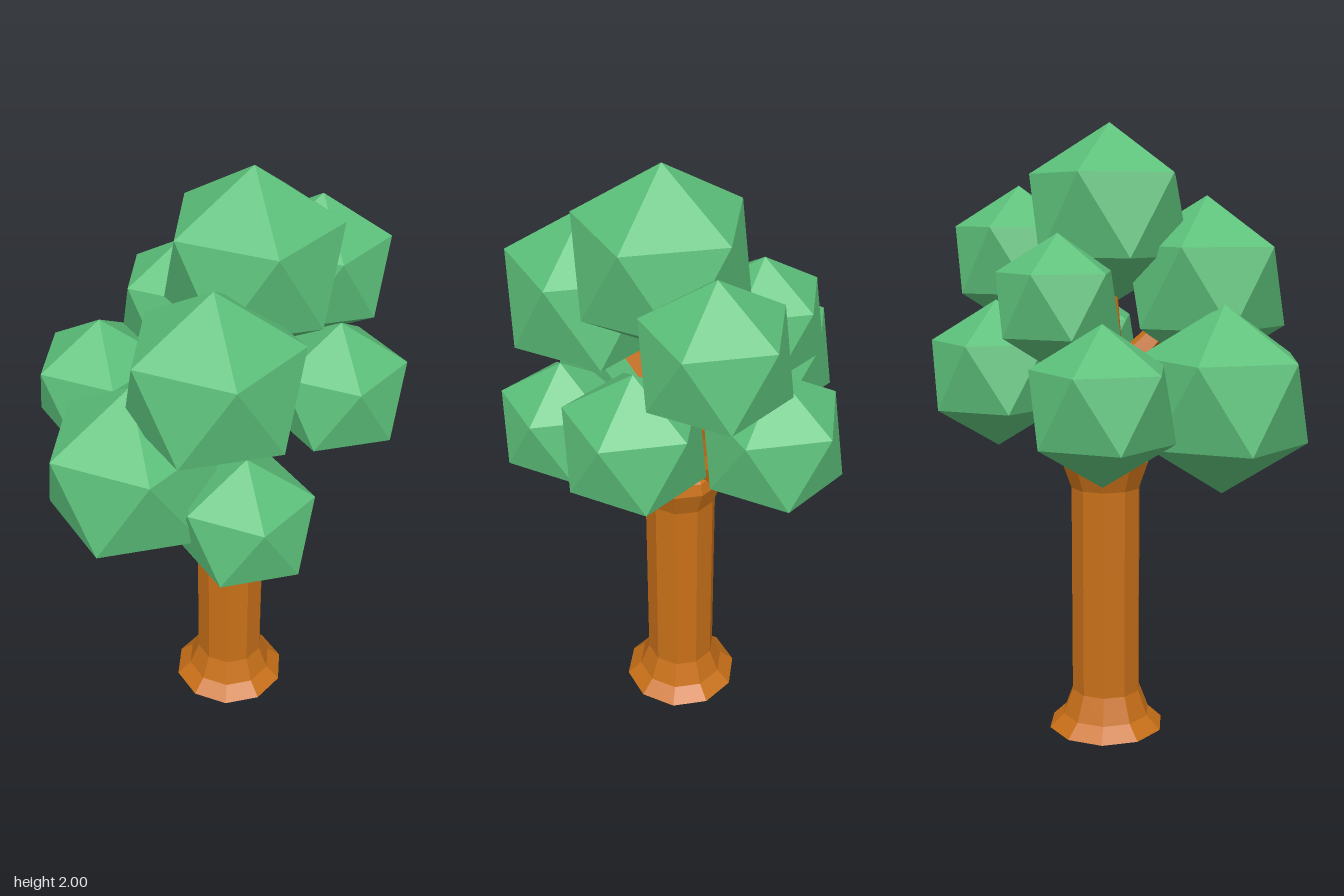
import * as THREE from 'three';

const bark = new THREE.MeshStandardMaterial({ color: 0xc87018, flatShading: true });
const leaf = new THREE.MeshStandardMaterial({ color: 0x5cc07a, flatShading: true });

// x, y, z, radius of each leaf clump
const CLUMPS = [
  [0.11, 1.71, 0.01, 0.29],
  [0.307, 1.565, -0.25, 0.24],
  [0.02, 1.485, 0.31, 0.287],
  [-0.22, 1.145, 0.29, 0.297],
  [0.12, 1.04, 0.37, 0.224],
  [0.378, 1.257, -0.03, 0.233],
  [-0.375, 1.165, -0.135, 0.24],
  [-0.12, 1.445, -0.21, 0.213],
  [0.13, 1.207, -0.36, 0.237],
];

// start point, end point, start radius, end radius of each branch
const BRANCHES = [
  [[0.02, 0.89, -0.03], [-0.25, 1.08, -0.11], 0.06, 0.035],
  [[0.06, 0.93, 0.04], [0.1, 0.97, 0.24], 0.045, 0.025],
  [[0.07, 0.92, -0.06], [0.11, 1.11, -0.25], 0.05, 0.03],
  [[0.03, 0.93, 0.03], [-0.12, 1.06, 0.19], 0.045, 0.03],
  [[0.08, 1.1, -0.02], [0.26, 1.2, -0.03], 0.05, 0.03],
  [[0.06, 1.15, -0.03], [-0.05, 1.36, -0.15], 0.05, 0.03],
  [[0.07, 1.22, -0.02], [0.22, 1.47, -0.17], 0.05, 0.035],
  [[0.06, 1.18, 0], [0.04, 1.38, 0.2], 0.05, 0.035],
];

function branch([from, to, r0, r1]) {
  const a = new THREE.Vector3(...from), b = new THREE.Vector3(...to);
  const dir = b.clone().sub(a);
  const mesh = new THREE.Mesh(new THREE.CylinderGeometry(r1, r0, dir.length(), 5), bark);
  mesh.name = 'branch';
  mesh.position.copy(a).add(b).multiplyScalar(0.5);
  mesh.quaternion.setFromUnitVectors(new THREE.Vector3(0, 1, 0), dir.normalize());
  return mesh;
}

export function createModel() {
  const tree = new THREE.Group();
  tree.name = 'tree';

  // Trunk: flared foot, straight shaft, collar and narrowing top
  const profile = [
    [0, 0], [0.195, 0], [0.148, 0.045], [0.116, 0.13], [0.116, 0.83],
    [0.148, 0.92], [0.138, 0.96], [0.105, 0.98], [0.098, 1.09],
    [0.1, 1.13], [0.065, 1.22], [0.05, 1.5], [0, 1.5],
  ].map(([r, y]) => new THREE.Vector2(r, y));
  const trunkShape = new THREE.LatheGeometry(profile, 10);
  // The top leans toward the crown
  const p = trunkShape.attributes.position;
  for (let i = 0; i < p.count; i++) {
    const lean = Math.max(0, p.getY(i) - 1.1);
    p.setX(i, p.getX(i) + lean * 0.13);
  }
  const trunk = new THREE.Mesh(trunkShape, bark);
  trunk.name = 'trunk';
  trunk.position.set(0.053, 0, -0.018);
  tree.add(trunk);

  const branches = new THREE.Group();
  branches.name = 'branches';
  BRANCHES.forEach((b) => branches.add(branch(b)));
  tree.add(branches);

  // Leaf clumps: icosahedra standing on a corner
  const clumpShape = new THREE.IcosahedronGeometry(1, 0);
  clumpShape.rotateZ(-Math.atan(2 / (1 + Math.sqrt(5))));
  const crown = new THREE.Group();
  crown.name = 'crown';
  for (const [x, y, z, r] of CLUMPS) {
    const clump = new THREE.Mesh(clumpShape, leaf);
    clump.name = 'leafClump';
    clump.position.set(x, y, z);
    clump.scale.setScalar(r);
    crown.add(clump);
  }
  tree.add(crown);
  return tree;
}
